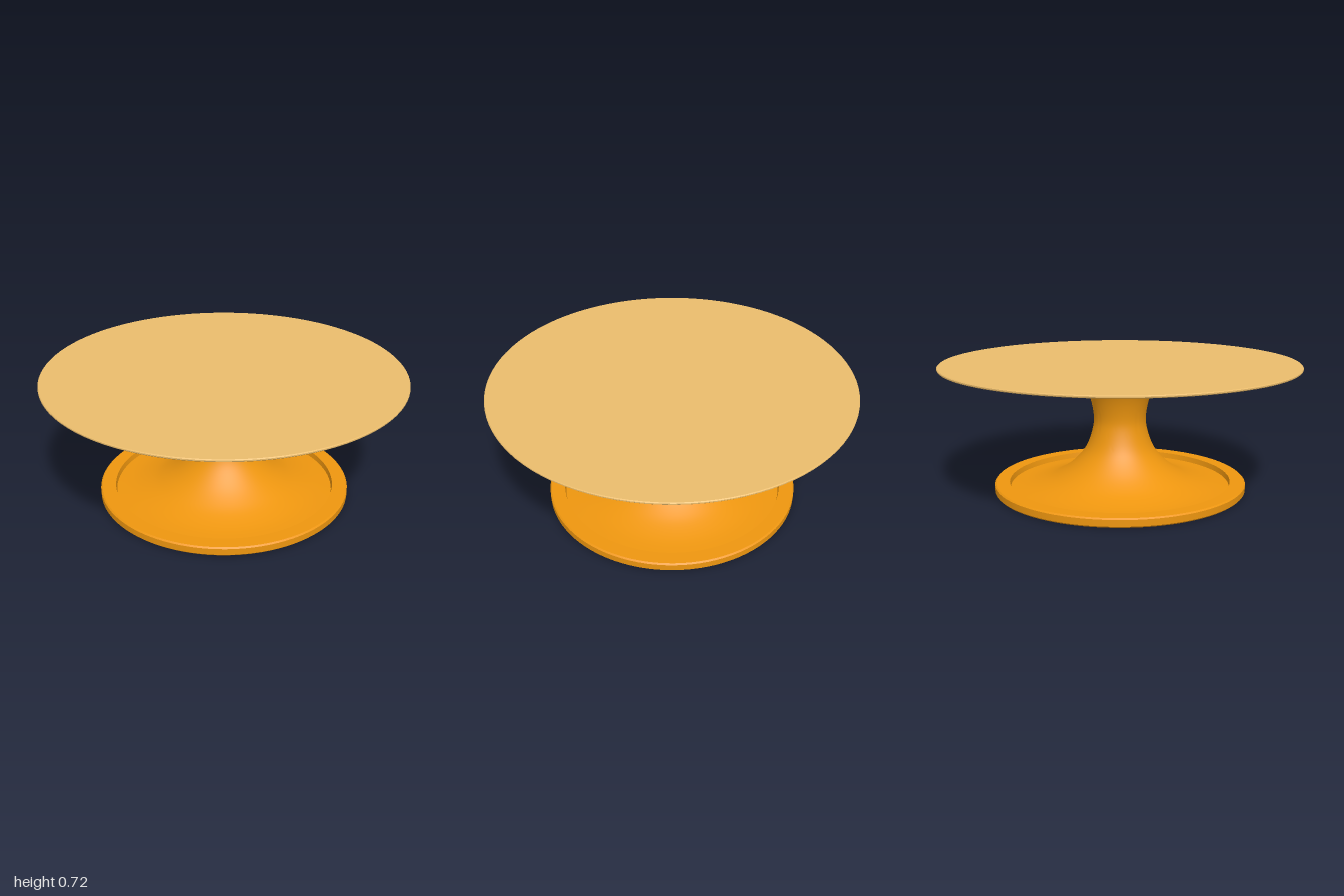
import * as THREE from 'three';
import { toCreasedNormals } from 'three/addons/utils/BufferGeometryUtils.js';

const SEGMENTS = 96;
const vec = ([x, y]) => new THREE.Vector2(x, y);

// Solid of revolution from a profile running bottom to top
function turned(name, points, color) {
  const geometry = toCreasedNormals(new THREE.LatheGeometry(points, SEGMENTS), 0.5);
  const mesh = new THREE.Mesh(geometry, new THREE.MeshStandardMaterial({ color }));
  mesh.name = name;
  return mesh;
}

export function createModel() {
  const group = new THREE.Group();
  group.name = 'pedestalTable';
  const orange = 0xee960f;
  const wood = 0xeabc6c;

  // Round foot with a raised rim around a shallow recess
  const foot = [
    [0, 0], [0.702, 0], [0.71, 0.008], [0.71, 0.043], [0.702, 0.05],
    [0.625, 0.05], [0.62, 0.018], [0, 0.018],
  ].map(vec);
  group.add(turned('foot', foot, orange));

  // Flared column rising out of the recess
  const flare = new THREE.SplineCurve([
    [0.62, 0.019], [0.52, 0.028], [0.43, 0.05], [0.36, 0.08], [0.285, 0.13],
    [0.22, 0.195], [0.18, 0.26], [0.152, 0.35], [0.147, 0.42], [0.165, 0.515],
    [0.2, 0.605], [0.233, 0.665], [0.24, 0.688],
  ].map(vec)).getPoints(48);
  const column = [...flare, vec([0.236, 0.7]), vec([0, 0.7])];
  group.add(turned('column', column, orange));

  // Hidden mounting disc joining the column to the top
  const mount = [[0, 0.695], [0.2, 0.695], [0.2, 0.71], [0, 0.71]].map(vec);
  group.add(turned('mountingDisc', mount, orange));

  // Thin round top with softened edges
  const top = [
    [0, 0.705], [0.996, 0.705], [1, 0.709], [1, 0.715], [0.996, 0.719], [0, 0.719],
  ].map(vec);
  group.add(turned('tableTop', top, wood));

  return group;
}
